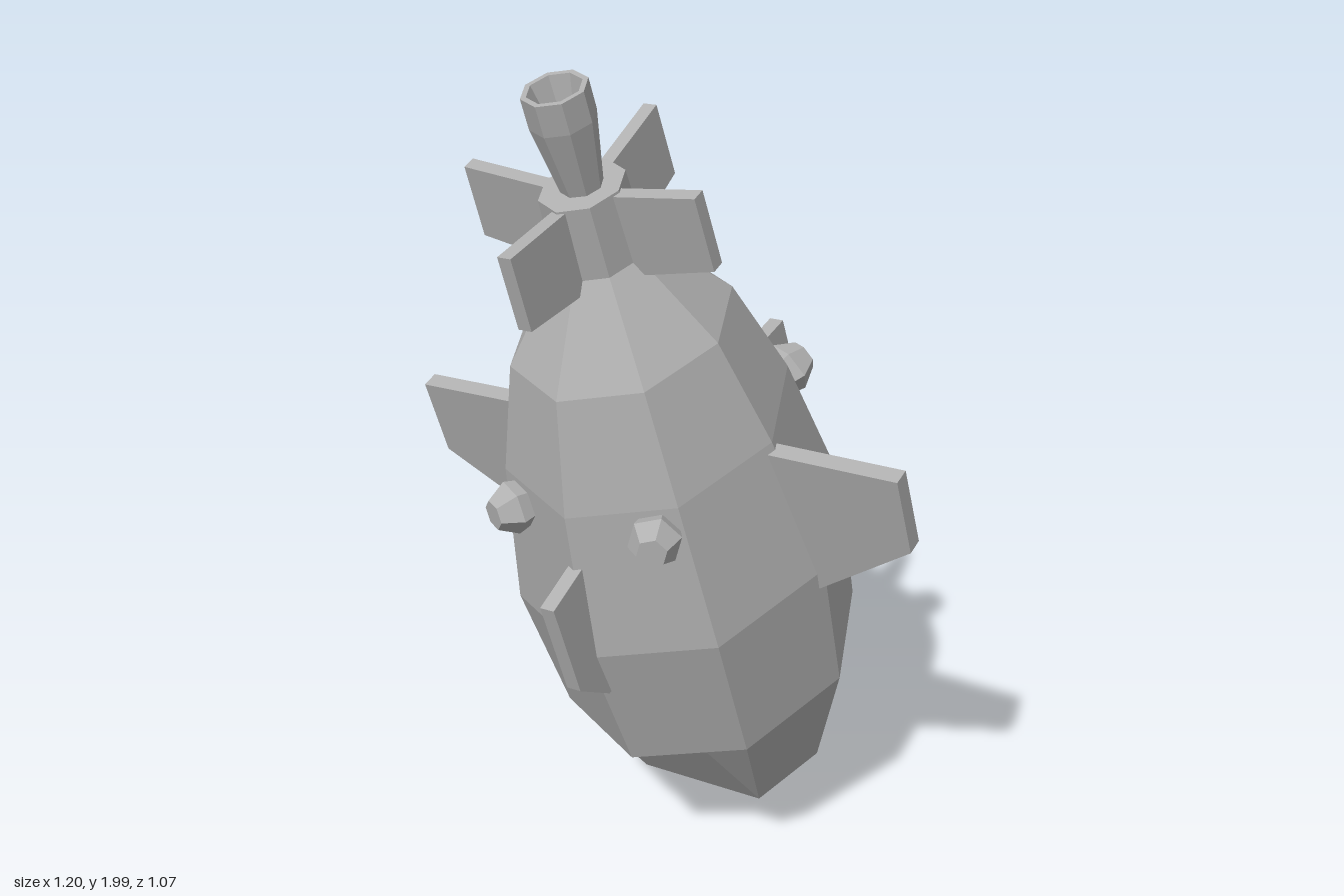
import * as THREE from 'three';

const metal = new THREE.MeshStandardMaterial({ color: 0xb0b0b0, flatShading: true });
metal.name = 'grey metal';
const metalOpen = metal;

function add(parent, name, geometry) {
  const mesh = new THREE.Mesh(geometry, metal);
  mesh.name = name;
  parent.add(mesh);
  return mesh;
}

// Eight-sided hull: rings along the axis, with a flat inset panel at the lower front
function hullGeometry() {
  const profile = [[0.205, 0.25], [0.51, 0.38], [0.866, 0.41], [1.22, 0.345], [1.47, 0.262], [1.66, 0.105], [1.825, 0.098]];
  const rings = profile.map(([y, r]) => Array.from({ length: 8 }, (_, k) => {
    const t = k * Math.PI / 4;
    return new THREE.Vector3(0.91 * r * Math.sin(t), y, r * Math.cos(t));
  }));
  rings[0][0].lerpVectors(rings[0][7], rings[0][1], 0.5);

  const points = [];
  const tri = (...p) => points.push(...p);
  const quad = (a, b, c, d) => { tri(a, b, c); tri(a, c, d); };
  const nose = new THREE.Vector3(0, 0, 0);
  const cap = new THREE.Vector3(0, 1.825, 0);
  const last = rings[rings.length - 1];

  for (let k = 0; k < 8; k++) {
    const n = (k + 1) % 8;
    tri(nose, rings[0][n], rings[0][k]);
    tri(cap, last[k], last[n]);
    for (let i = 0; i + 1 < rings.length; i++) {
      if (i === 0 && (k === 0 || k === 7)) continue;
      quad(rings[i][k], rings[i][n], rings[i + 1][n], rings[i + 1][k]);
    }
  }

  // inset panel, its side triangles and the ledge above it
  const [lo, hi] = rings;
  const c = new THREE.Vector3(0.135, 0.505, 0.295);
  const d = new THREE.Vector3(-0.135, 0.505, 0.295);
  quad(lo[7], lo[1], c, d);
  tri(lo[1], hi[1], c);
  tri(lo[7], d, hi[7]);
  tri(d, c, hi[0]);
  tri(d, hi[0], hi[7]);
  tri(c, hi[1], hi[0]);

  const geometry = new THREE.BufferGeometry().setFromPoints(points);
  geometry.computeVertexNormals();
  return geometry;
}

// Flat fin outlined by [distance from axis, height along axis]
function addFin(parent, name, outline, angle, thickness) {
  const shape = new THREE.Shape(outline.map(([x, y]) => new THREE.Vector2(x, y)));
  const geometry = new THREE.ExtrudeGeometry(shape, { depth: thickness, bevelEnabled: false });
  geometry.translate(0, 0, -thickness / 2);
  add(parent, name, geometry).rotation.y = angle;
}

const lathe = (profile, sides) =>
  new THREE.LatheGeometry(profile.map(([x, y]) => new THREE.Vector2(x, y)), sides);

export function createModel() {
  const model = new THREE.Group();
  model.name = 'divingBomb';

  // The whole body is tilted; its axis runs from the nose up to the tail
  const body = new THREE.Group();
  body.name = 'tiltedBody';
  const axis = new THREE.Vector3(-0.014, 0.962, 0.275).normalize();
  const side = new THREE.Vector3(0.966, 0.084, -0.246);
  side.addScaledVector(axis, -side.dot(axis)).normalize();
  const front = new THREE.Vector3().crossVectors(side, axis);
  body.quaternion.setFromRotationMatrix(new THREE.Matrix4().makeBasis(side, axis, front));
  body.position.set(0, 0.005, -0.23);
  model.add(body);

  add(body, 'hull', hullGeometry());

  // Large fins
  const sideFin = [[0.27, 0.82], [0.36, 0.82], [0.615, 1.0], [0.615, 1.197], [0.27, 1.2]];
  const backFin = [[0.3, 0.645], [0.4, 0.645], [0.555, 0.805], [0.55, 1.08], [0.3, 1.1]];
  const frontFin = [[0.3, 0.75], [0.4, 0.75], [0.482, 0.84], [0.48, 1.08], [0.3, 1.1]];
  addFin(body, 'leftFin', sideFin, 0, 0.04);
  addFin(body, 'rightFin', sideFin, Math.PI, 0.04);
  addFin(body, 'frontFin', frontFin, -Math.PI / 2, 0.035);
  addFin(body, 'backFin', backFin, Math.PI / 2, 0.035);

  // Tail fins
  const tailFin = [[0.05, 1.63], [0.1, 1.63], [0.285, 1.67], [0.28, 1.842], [0.05, 1.815]];
  ['tailFinLeft', 'tailFinBack', 'tailFinRight', 'tailFinFront'].forEach((name, i) =>
    addFin(body, name, tailFin, i * Math.PI / 2, 0.032));

  // Flared open nozzle with a funnel inside
  add(body, 'nozzle', lathe([[0.045, 1.82], [0.07, 1.98], [0.07, 2.05], [0.058, 2.05], [0.012, 1.88], [0, 1.88]], 8));

  // Four faceted studs on the diagonal faces
  const stud = lathe([[0.045, -0.03], [0.06, 0.03], [0.034, 0.075], [0, 0.075]], 6);
  for (const sx of [-1, 1]) for (const sz of [-1, 1]) {
    const mesh = add(body, 'stud', stud);
    mesh.position.set(sx * 0.172, 1.16, sz * 0.275);
    mesh.quaternion.setFromUnitVectors(
      new THREE.Vector3(0, 1, 0), new THREE.Vector3(sx * 0.42, 0.18, sz * 0.9).normalize());
  }
  return model;
}
